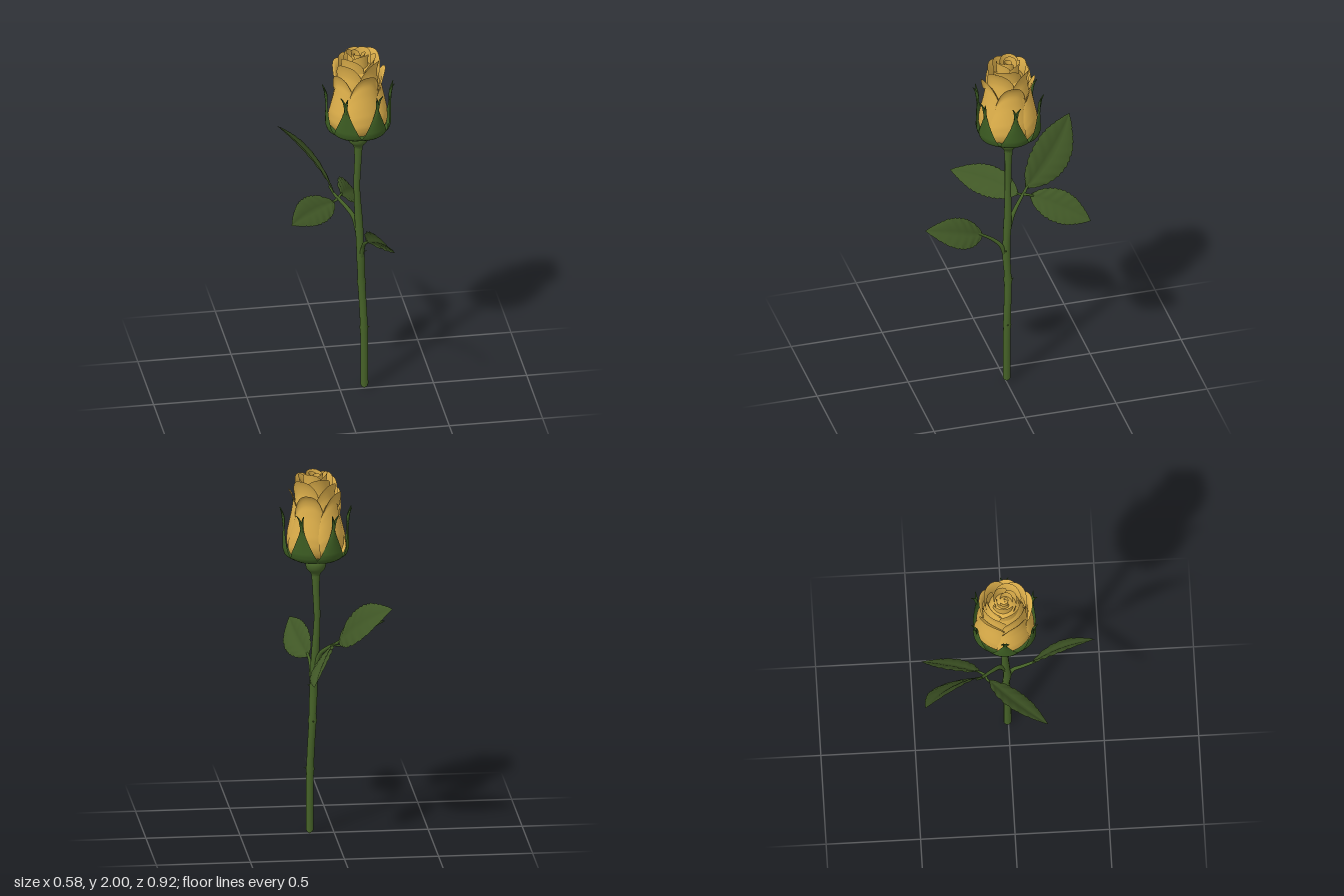
import * as THREE from 'three';

const V = (x, y, z) => new THREE.Vector3(x, y, z);
const AXIS = V(0.1, 0, -0.022); // centre line of the bloom
const mat = (name, color, side = THREE.FrontSide) => {
  const m = new THREE.MeshStandardMaterial({ color, side });
  m.name = name;
  return m;
};

// Piecewise-linear lookup of [t, value] pairs
function lookup(table, t) {
  for (let i = 1; i < table.length; i++) {
    const [a, va] = table[i - 1], [b, vb] = table[i];
    if (t <= b) return va + (vb - va) * Math.max(0, (t - a) / (b - a));
  }
  return table[table.length - 1][1];
}

// Smooth sheet from a rule f(u, v) with u in -1..1 and v in 0..1
function sheet(f, nu, nv) {
  const pos = [], idx = [];
  for (let j = 0; j <= nv; j++)
    for (let i = 0; i <= nu; i++) pos.push(...f((i / nu) * 2 - 1, j / nv).toArray());
  for (let j = 0; j < nv; j++)
    for (let i = 0; i < nu; i++) {
      const a = j * (nu + 1) + i, b = a + nu + 1;
      idx.push(a, b, a + 1, a + 1, b, b + 1);
    }
  const g = new THREE.BufferGeometry();
  g.setAttribute('position', new THREE.Float32BufferAttribute(pos, 3));
  g.setIndex(idx);
  g.computeVertexNormals();
  return g;
}

// Tube whose radius follows a table along its length
function taperTube(points, radii, seg = 40, sides = 14) {
  const curve = new THREE.CatmullRomCurve3(points);
  const g = new THREE.TubeGeometry(curve, seg, 1, sides);
  const p = g.attributes.position, q = V(0, 0, 0);
  for (let i = 0; i < p.count; i++) {
    const t = Math.floor(i / (sides + 1)) / seg, c = curve.getPointAt(t);
    q.fromBufferAttribute(p, i).sub(c).multiplyScalar(lookup(radii, t)).add(c);
    p.setXYZ(i, q.x, q.y, q.z);
  }
  return g;
}

const polar = (angle, r, y) => V(AXIS.x + r * Math.cos(angle), y, AXIS.z + r * Math.sin(angle));

// Serrated, slightly folded leaf: base, middle and tip of the midrib, full width vector
function leafGeometry(base, mid, tip, width) {
  const ctrl = mid.clone().multiplyScalar(2).addScaledVector(base, -0.5).addScaledVector(tip, -0.5);
  const rib = new THREE.QuadraticBezierCurve3(base, ctrl, tip);
  const n = tip.clone().sub(base).cross(width).normalize();
  if (n.y < 0) n.negate();
  const outline = [[0, 0.04], [0.06, 0.36], [0.15, 0.66], [0.28, 0.9], [0.42, 1], [0.56, 0.96],
    [0.7, 0.78], [0.82, 0.52], [0.92, 0.25], [1, 0]];
  return sheet((u, t) => {
    const tooth = 1 + 0.09 * (((1 - t) * 14) % 1 - 0.5) * Math.pow(Math.abs(u), 4);
    const w = lookup(outline, t) * tooth * 0.5;
    const veins = 0.003 * Math.sin(t * 44 - Math.abs(u) * 7) * Math.abs(u) * (1 - t);
    const lift = 0.035 * w * 2 * (Math.abs(u) - 0.75 * u * u) + veins;
    return rib.getPoint(t).addScaledVector(width, u * w).addScaledVector(n, lift);
  }, 12, 70);
}

// Petal wrapped round the bloom axis, with a rolled lip
const BODY = [[0, 0.3], [0.05, 0.78], [0.12, 0.93], [0.22, 1], [0.36, 0.98], [0.5, 0.91],
  [0.65, 0.83], [0.8, 0.77], [1, 0.77]];
function petalGeometry({ angle, half, k, top, lip, drop }) {
  return sheet((u, v) => {
    const s = Math.max(0, (v - 0.8) / 0.2);
    const edge = top - drop * Math.pow(Math.abs(u), 2.5);
    const r = k * lookup(BODY, v) + 0.007 * u + lip * s * s * (1 - 0.6 * u * u);
    const y = 1.53 + (edge - 1.53) * v - 0.5 * lip * s * s * s;
    return polar(angle + u * half * (0.75 + 0.25 * Math.sin(Math.PI * Math.min(1, v * 0.9 + 0.1))), r, y);
  }, 28, 30);
}

export function createModel() {
  const root = new THREE.Group();
  root.name = 'rose';
  const stemGreen = mat('stem green', 0x456127);
  const sepalGreen = mat('sepal green', 0x3c5c22, THREE.DoubleSide);
  const leafGreen = mat('leaf green', 0x405726, THREE.DoubleSide);
  const yellow = mat('petal yellow', 0xdcae4a, THREE.DoubleSide);
  const add = (name, geo, material, parent = root) => {
    const m = new THREE.Mesh(geo, material);
    m.name = name;
    parent.add(m);
    return m;
  };

  // Stem with a rounded foot
  add('stem', taperTube(
    [V(0.13, 0, -0.005), V(0.13, 0.2, -0.005), V(0.127, 0.4, -0.008), V(0.117, 0.62, -0.015),
      V(0.11, 0.8, -0.008), V(0.102, 1, -0.018), V(0.093, 1.2, -0.022), V(0.099, 1.36, -0.022), V(0.1, 1.47, -0.022)],
    [[0, 0], [0.004, 0.013], [0.015, 0.021], [0.23, 0.02], [0.24, 0.023], [0.26, 0.02], [0.41, 0.02], [0.425, 0.024],
      [0.45, 0.019], [0.53, 0.022], [0.6, 0.02], [0.65, 0.022], [0.8, 0.017], [0.93, 0.019], [1, 0.026]], 120), stemGreen);

  // Thorns
  for (const [x, y, z, a] of [[0.148, 0.36, -0.005, 0], [0.115, 0.625, -0.036, Math.PI / 2], [0.13, 0.815, 0, 0]]) {
    const t = add('thorn', new THREE.ConeGeometry(0.009, 0.03, 8), stemGreen);
    t.position.set(x, y, z);
    t.rotation.set(0, a, -1.2, 'YXZ');
  }

  // Swollen hip and the cup under the bloom
  const lathe = (pts) => new THREE.LatheGeometry(
    new THREE.SplineCurve(pts.map(([r, y]) => new THREE.Vector2(r, y))).getPoints(24), 40);
  add('hip', lathe([[0.019, 1.41], [0.027, 1.44], [0.048, 1.465], [0.054, 1.492], [0.046, 1.515], [0.04, 1.53]]), stemGreen)
    .position.copy(AXIS);
  add('calyxCup', lathe([[0.03, 1.52], [0.09, 1.522], [0.135, 1.532], [0.157, 1.553]]), sepalGreen)
    .position.copy(AXIS);

  // Six sepals with forked tips
  const sepalR = [[1.52, 0.08], [1.53, 0.132], [1.55, 0.158], [1.58, 0.167], [1.64, 0.167], [1.73, 0.166]];
  const sepalHalf = [[1.52, 0.54], [1.55, 0.53], [1.58, 0.42], [1.62, 0.3], [1.66, 0.19], [1.7, 0.09], [1.73, 0.045]];
  for (let i = 0; i < 6; i++) {
    const a = (i * Math.PI) / 3 + 0.04;
    const sepal = new THREE.Group();
    sepal.name = 'sepal';
    root.add(sepal);
    add('sepalBlade', sheet((u, v) => {
      const y = 1.52 + 0.21 * v;
      return polar(a + u * lookup(sepalHalf, y), lookup(sepalR, y) + 0.008 * (1 - u * u), y);
    }, 10, 24), sepalGreen, sepal);
    for (const s of [-1, 1])
      add('sepalTip', taperTube(
        [polar(a, 0.169, 1.7), polar(a + s * 0.015, 0.171, 1.74), polar(a + s * 0.05, 0.178, 1.775), polar(a + s * 0.11, 0.19, 1.802)],
        [[0, 0.007], [0.5, 0.008], [1, 0.002]], 10, 6), sepalGreen, sepal);
  }

  // Petals in layers, from the outer whorl to the tight heart
  const layers = [
    { n: 5, half: 0.85, k: 0.155, top: 1.915, lip: 0.024, drop: 0.1, turn: 0.1 },
    { n: 4, half: 1.05, k: 0.134, top: 1.965, lip: 0.014, drop: 0.07, turn: 0.8 },
    { n: 3, half: 1.35, k: 0.104, top: 1.985, lip: 0.012, drop: 0.05, turn: 0.3 },
    { n: 3, half: 1.4, k: 0.074, top: 2.0, lip: 0.006, drop: 0.025, turn: 1.2 },
    { n: 2, half: 1.8, k: 0.046, top: 1.995, lip: 0.005, drop: 0.02, turn: 0.5 },
    { n: 1, half: 2.9, k: 0.024, top: 1.985, lip: 0.003, drop: 0.01, turn: 2 },
  ];
  const bloom = new THREE.Group();
  bloom.name = 'bloom';
  root.add(bloom);
  layers.forEach((l, li) => {
    for (let i = 0; i < l.n; i++) {
      const vary = Math.sin(i * 2.4 + li);
      add('petal', petalGeometry({
        ...l, angle: l.turn + (i * 2 * Math.PI) / l.n,
        top: l.top + (li < 2 ? 0.015 * vary : 0), lip: l.lip * (1 + 0.3 * vary),
      }), yellow, bloom);
    }
  });
  // Solid heart closing the gaps between the petals
  add('bloomHeart', lathe([[0.12, 1.58], [0.115, 1.75], [0.085, 1.88], [0.045, 1.93], [0.001, 1.95]]), yellow, bloom)
    .position.copy(AXIS);

  // Leaf stalks
  const stalk = (pts, r) => add('leafStalk', taperTube(pts, [[0, r], [0.3, r * 0.8], [1, r * 0.5]], 20, 8), stemGreen);
  const fork = V(0, 1.085, -0.14);
  stalk([V(0.1, 0.92, -0.02), V(0.08, 1.0, -0.05), V(0.045, 1.045, -0.09), fork], 0.016);
  stalk([fork, V(-0.012, 1.1, -0.155), V(-0.03, 1.125, -0.18)], 0.009);
  stalk([V(0.012, 1.075, -0.13), V(0.025, 1.08, -0.15), V(0.04, 1.075, -0.18)], 0.009);
  stalk([V(0.012, 1.075, -0.13), V(-0.01, 1.065, -0.12), V(-0.03, 1.065, -0.1)], 0.009);
  stalk([V(0.11, 0.77, -0.005), V(0.118, 0.85, 0.025), V(0.116, 0.895, 0.07), V(0.12, 0.93, 0.12), V(0.125, 0.95, 0.15)], 0.014);

  // Leaves: three on the upper stalk, one on the lower
  const leaves = [
    [V(-0.01, 1.1, -0.15), V(-0.11, 1.24, -0.325), V(-0.26, 1.36, -0.46), V(0.04, -0.156, -0.16)],
    [V(0.03, 1.078, -0.16), V(0.1, 1.015, -0.315), V(0.155, 0.94, -0.46), V(0.094, -0.124, 0.091)],
    [V(-0.015, 1.065, -0.11), V(-0.16, 1.088, 0.03), V(-0.292, 1.1, 0.187), V(0.095, -0.11, 0.095)],
    [V(0.12, 0.935, 0.125), V(0.17, 1.0, 0.28), V(0.187, 1.06, 0.46), V(0.117, -0.125, 0.02)],
  ];
  for (const l of leaves) add('leaf', leafGeometry(...l), leafGreen);

  return root;
}
